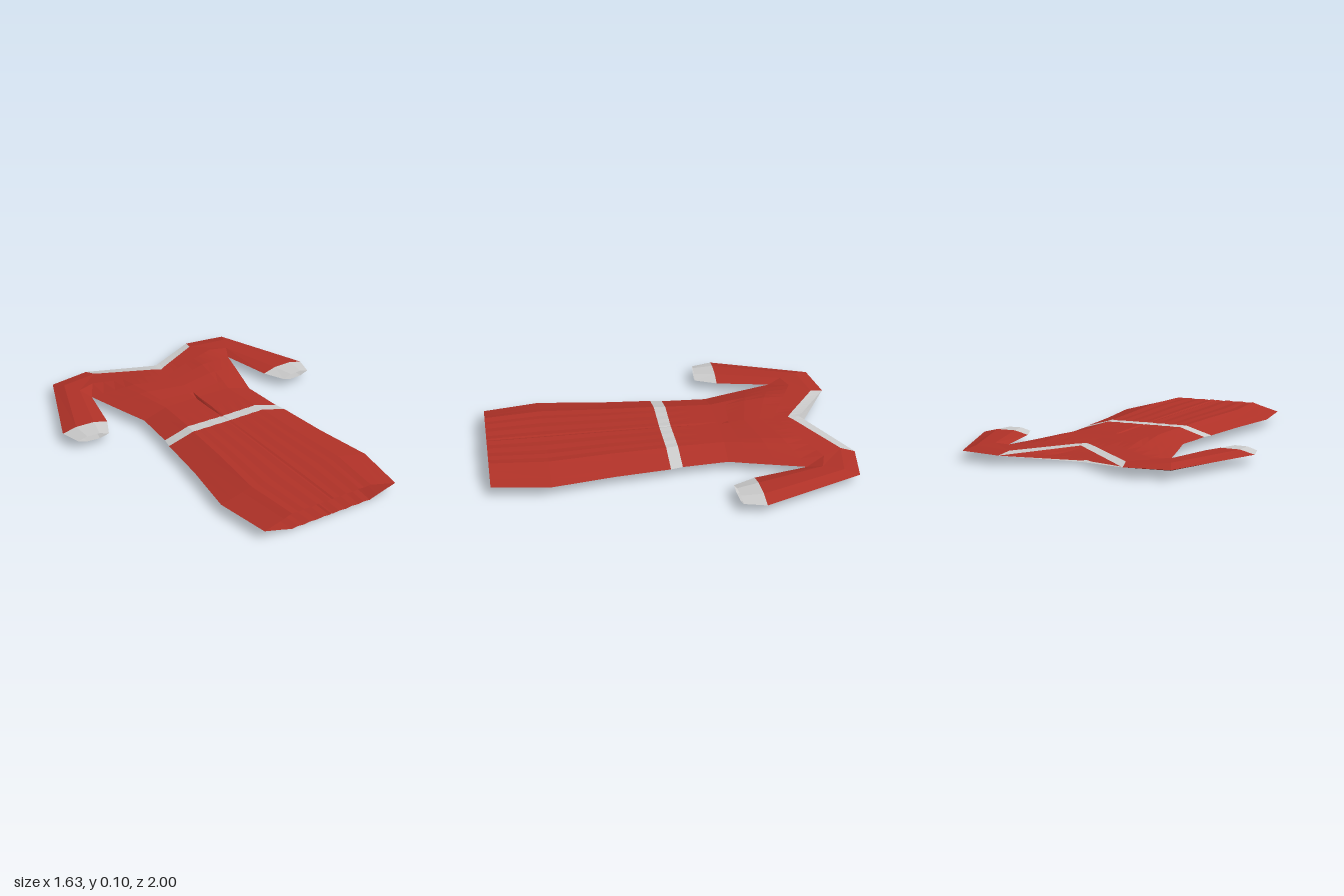
import * as THREE from 'three';
import { mergeGeometries } from 'three/addons/utils/BufferGeometryUtils.js';

const MID = 0.05; // height of the side seams
const cloth = (name, color) =>
  new THREE.MeshStandardMaterial({ name, color, flatShading: true, side: THREE.DoubleSide });

// Skin between rows of [x, h, z] points, where h is the distance from the seam plane.
function skin(rows, sx, sy) {
  const pos = [], index = [], n = rows[0].length;
  rows.forEach(row => row.forEach(([x, h, z]) => pos.push(sx * x, MID + sy * h, z)));
  for (let r = 0; r < rows.length - 1; r++) {
    for (let c = 0; c < n - 1; c++) {
      const a = r * n + c, b = a + n;
      if (sx * sy > 0) index.push(a, b, a + 1, a + 1, b, b + 1);
      else index.push(a, a + 1, b, a + 1, b + 1, b);
    }
  }
  const g = new THREE.BufferGeometry();
  g.setAttribute('position', new THREE.Float32BufferAttribute(pos, 3));
  g.setIndex(index);
  g.computeVertexNormals();
  return g;
}

// Columns from the centre line to the side seam
const COLS = [0, 0.03, 0.12, 0.22, 0.32, 0.42, 0.5, 0.6, 0.72, 0.86, 1];

// One body row: centre z, side x and z, centre and side heights,
// width of the rounded edge, depth of the pleats and of the centre crease
function bodyRow({ zc, xs, zs, hc = 0.045, hs = 0, edge = 0.4, pleat = 0, crease = 0 }) {
  return COLS.map((u, i) => {
    let h = hs + (hc - hs) * Math.min(1, (1 - u) / edge);
    if (u < 0.7) h += pleat * (i % 2 ? 1 : -1);
    if (i === 0) h -= crease;
    return [xs * u, h, zc + (zs - zc) * u];
  });
}

const neckEdge = bodyRow({ zc: -0.77, xs: 0.355, zs: -1, hc: 0.043, edge: 1 });
const neckSeam = bodyRow({ zc: -0.705, xs: 0.335, zs: -0.925, hs: 0.015, edge: 0.9 });
const beltTop = bodyRow({ zc: -0.03, xs: 0.372, zs: -0.037, hc: 0.044, pleat: 0.001, crease: 0.002 });
const beltBottom = bodyRow({ zc: 0.035, xs: 0.386, zs: 0.03, hc: 0.044, pleat: 0.001 });

const bodice = [
  neckSeam,
  bodyRow({ zc: -0.62, xs: 0.41, zs: -0.81, hc: 0.046, hs: 0.022, edge: 0.7 }),
  bodyRow({ zc: -0.54, xs: 0.475, zs: -0.7, hc: 0.049, edge: 0.5 }),
  bodyRow({ zc: -0.45, xs: 0.433, zs: -0.55, hc: 0.05, edge: 0.45 }),
  bodyRow({ zc: -0.36, xs: 0.39, zs: -0.4, hc: 0.043 }),
  bodyRow({ zc: -0.3, xs: 0.357, zs: -0.29, hc: 0.041, crease: 0.014 }),
  bodyRow({ zc: -0.16, xs: 0.365, zs: -0.16, hc: 0.043, crease: 0.01 }),
  beltTop,
];
const skirt = [
  beltBottom,
  bodyRow({ zc: 0.34, xs: 0.415, zs: 0.34, pleat: 0.0015 }),
  bodyRow({ zc: 0.68, xs: 0.465, zs: 0.68, pleat: 0.0018 }),
  bodyRow({ zc: 1, xs: 0.415, zs: 1, pleat: 0.002 }),
];

// One sleeve section from its inner to its outer seam
function sleeveRow([xi, zi], [xo, zo], h) {
  return [0, 0.3, 0.7, 1].map(v =>
    [xi + (xo - xi) * v, v === 0 || v === 1 ? 0 : h, zi + (zo - zi) * v]);
}
const armhole = [[0.475, 0, -0.7], [0.41, 0.022, -0.81], [0.335, 0.015, -0.925], [0.355, 0, -1]];
const cuffTop = sleeveRow([0.538, -0.397], [0.813, -0.408], 0.02);
const sleeve = [
  armhole,
  sleeveRow([0.475, -0.7], [0.597, -0.962], 0.02),
  cuffTop,
];
const cuff = [cuffTop, sleeveRow([0.595, -0.273], [0.78, -0.288], 0.016)];

export function createModel() {
  const group = new THREE.Group();
  const red = cloth('red cloth', 0xb13228);
  const trim = cloth('light grey trim', 0xcccccc);
  const add = (name, material, rows, sides) => {
    const parts = sides.flatMap(sx => [1, -1].map(sy => skin(rows, sx, sy)));
    const mesh = new THREE.Mesh(mergeGeometries(parts), material);
    mesh.name = name;
    group.add(mesh);
  };

  // Body panels, upper and lower, both halves
  add('bodice', red, bodice, [1, -1]);
  add('skirt', red, skirt, [1, -1]);
  add('neckTrim', trim, [neckEdge, neckSeam], [1, -1]);
  add('belt', trim, [beltTop, beltBottom], [1, -1]);

  // Sleeves with open cuffs
  for (const [side, sx] of [['left', 1], ['right', -1]]) {
    add(side + 'Sleeve', red, sleeve, [sx]);
    add(side + 'Cuff', trim, cuff, [sx]);
  }
  return group;
}
